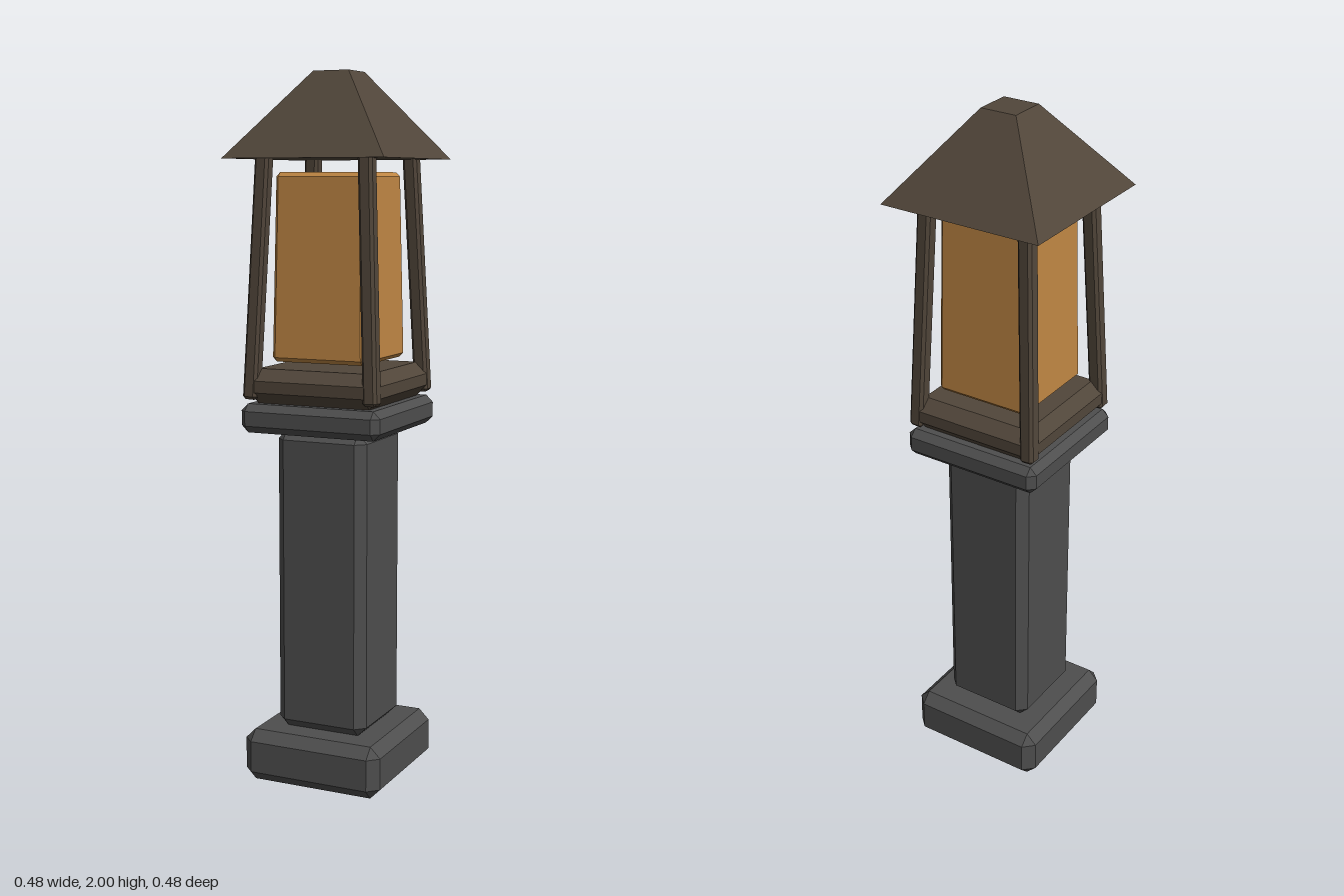
import * as THREE from 'three';
import { ConvexGeometry } from 'three/addons/geometries/ConvexGeometry.js';

const material = (name, color) => {
  const m = new THREE.MeshStandardMaterial({ color });
  m.name = name;
  return m;
};

// Square block from y0 to y1 with bevelled edges; taper scales the top width
function bevelBlock(half, y0, y1, bevel, taper = 1) {
  const points = [];
  const mid = (y0 + y1) / 2, hy = (y1 - y0) / 2;
  for (const sx of [-1, 1]) for (const sy of [-1, 1]) for (const sz of [-1, 1]) {
    for (let axis = 0; axis < 3; axis++) {
      const inset = [bevel, bevel, bevel];
      inset[axis] = 0;
      const y = sy * (hy - inset[1]);
      const s = THREE.MathUtils.lerp(1, taper, (y + hy) / (2 * hy));
      points.push(new THREE.Vector3(sx * (half - inset[0]) * s, mid + y, sz * (half - inset[2]) * s));
    }
  }
  return new ConvexGeometry(points);
}

export function createModel() {
  const stone = material('dark stone', 0x4e4e4e);
  const bronze = material('aged bronze', 0x51463a);
  const glass = material('amber glass', 0xc08744);

  const model = new THREE.Group();
  model.name = 'gardenLantern';
  const add = (name, geometry, mat) => {
    const mesh = new THREE.Mesh(geometry, mat);
    mesh.name = name;
    model.add(mesh);
    return mesh;
  };

  // Stone pedestal
  add('foot', bevelBlock(0.21, 0, 0.15, 0.03), stone);
  add('column', bevelBlock(0.136, 0.148, 1.015, 0.027), stone);
  add('capital', bevelBlock(0.21, 1.012, 1.093, 0.02), stone);

  // Lantern floor and floating glass body
  add('lanternFloor', bevelBlock(0.2, 1.093, 1.19, 0.032), bronze);
  add('lampGlass', bevelBlock(0.142, 1.207, 1.727, 0.012, 0.93), glass);

  // Four corner posts leaning inwards
  const up = new THREE.Vector3(0, 1, 0);
  for (const sx of [-1, 1]) for (const sz of [-1, 1]) {
    const bottom = new THREE.Vector3(sx * 0.182, 1.105, sz * 0.182);
    const top = new THREE.Vector3(sx * 0.152, 1.79, sz * 0.152);
    const axis = top.clone().sub(bottom);
    const post = add('cornerPost', bevelBlock(0.021, 0, axis.length(), 0.008), bronze);
    post.position.copy(bottom);
    post.quaternion.setFromUnitVectors(up, axis.normalize());
  }

  // Truncated pyramid roof
  const roofPoints = [];
  for (const [half, y] of [[0.239, 1.763], [0.053, 2]])
    for (const sx of [-1, 1]) for (const sz of [-1, 1])
      roofPoints.push(new THREE.Vector3(sx * half, y, sz * half));
  add('roof', new ConvexGeometry(roofPoints), bronze);

  return model;
}
